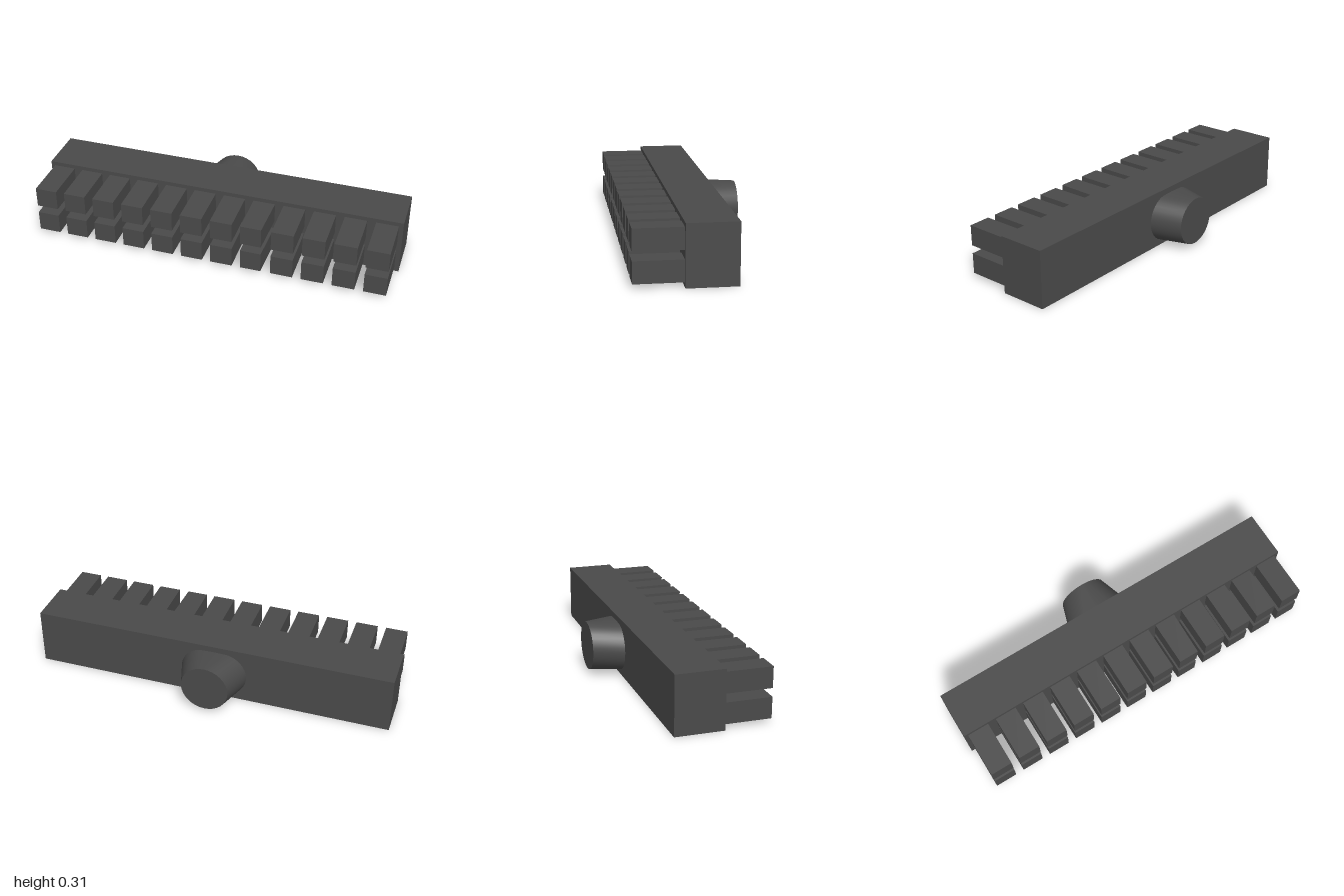
import * as THREE from 'three';
import { toCreasedNormals } from 'three/addons/utils/BufferGeometryUtils.js';

const material = new THREE.MeshStandardMaterial({ color: 0x4a4a4a });

function addMesh(parent, name, geometry, x, y, z) {
  const mesh = new THREE.Mesh(geometry, material);
  mesh.name = name;
  mesh.position.set(x, y, z);
  parent.add(mesh);
  return mesh;
}

// Plug: a round tip that widens sideways into a flat-topped oval at its root
function plugGeometry(radius, depth, rootStretch) {
  const geometry = new THREE.CylinderGeometry(radius, radius, depth, 32);
  geometry.rotateX(-Math.PI / 2); // the top of the cylinder now faces -z
  const p = geometry.attributes.position;
  for (let i = 0; i < p.count; i++) {
    if (p.getZ(i) < 0) continue;
    const x = p.getX(i);
    // split the root circle into two half circles, leaving flats above and below
    p.setX(i, x + rootStretch * THREE.MathUtils.clamp(x / (radius * 0.19), -1, 1));
  }
  return toCreasedNormals(geometry, 0.5);
}

export function createModel() {
  const model = new THREE.Group();
  model.name = 'pinBlock';

  // Main housing
  addMesh(model, 'housing', new THREE.BoxGeometry(2, 0.315, 0.26), 0, 0.1575, -0.043);

  // Two rows of twelve square prongs on the front
  const prongs = new THREE.Group();
  prongs.name = 'prongs';
  model.add(prongs);
  const length = 0.248;
  for (const y of [0.079, 0.236]) {
    for (let i = 0; i < 12; i++) {
      const geometry = new THREE.BoxGeometry(0.12, 0.112, length);
      if (i === 7) {
        // this column narrows slightly towards its front on the left side
        const p = geometry.attributes.position;
        for (let k = 0; k < p.count; k++) {
          if (p.getX(k) > 0 && p.getZ(k) > 0) p.setX(k, 0.053);
        }
        geometry.computeVertexNormals();
      }
      addMesh(prongs, 'prong', geometry, -0.919 + i * 0.1668, y, 0.087 + length / 2);
    }
  }

  // Tapered plug on the back
  addMesh(model, 'plug', plugGeometry(0.131, 0.162, 0.053), -0.025, 0.152, -0.254);

  return model;
}
